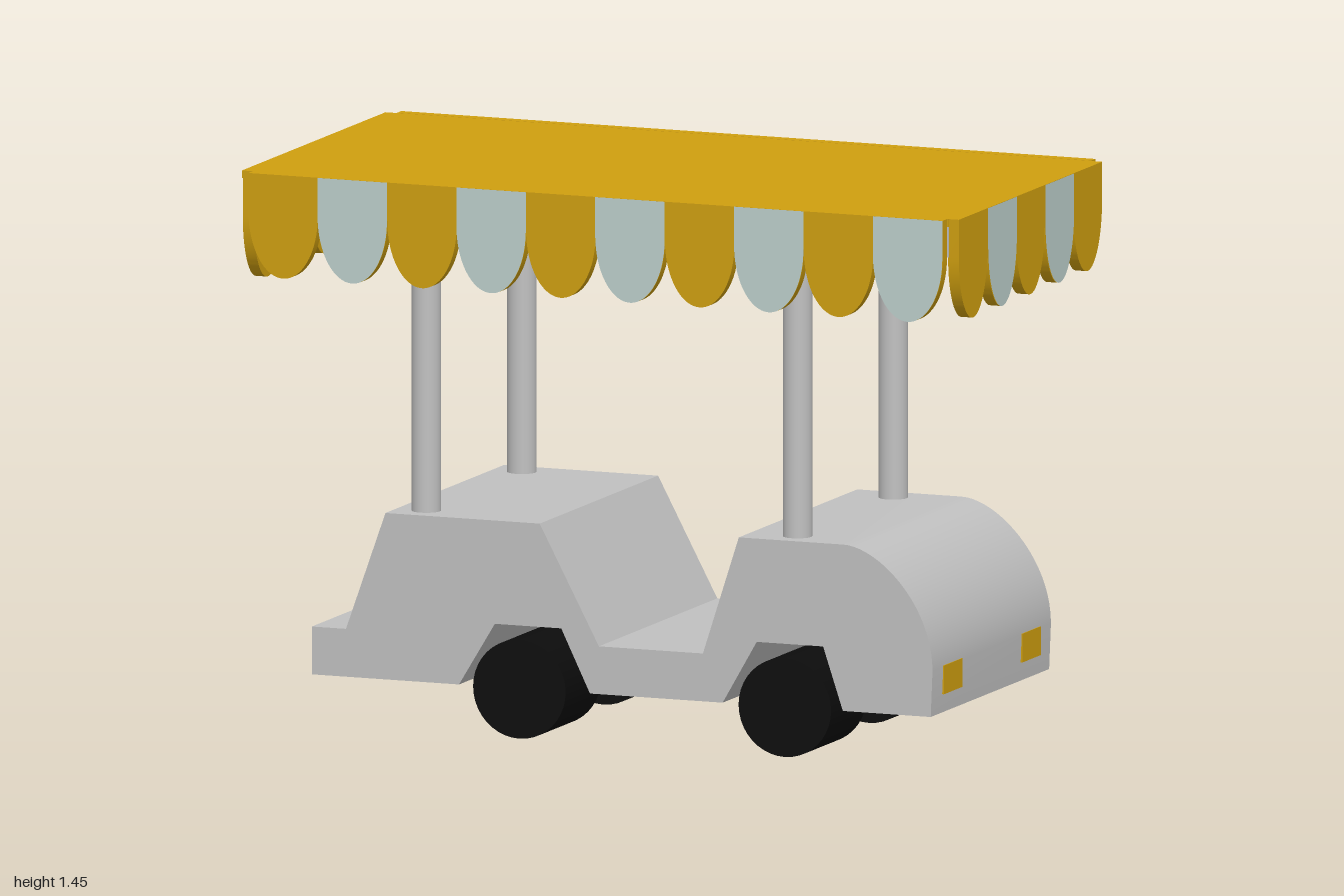
import * as THREE from 'three';
import { toCreasedNormals } from 'three/addons/utils/BufferGeometryUtils.js';

const paint = (name, color) => {
  const m = new THREE.MeshStandardMaterial({ color });
  m.name = name;
  return m;
};

export function createModel() {
  const grey = paint('body grey', 0xc0c0c0);
  const gold = paint('gold', 0xcf9f0f);
  const pale = paint('pale blue', 0xbccfcb);
  const black = paint('tyre black', 0x0c0c0c);
  const model = new THREE.Group();

  const add = (name, geometry, material, x = 0, y = 0, z = 0, parent = model) => {
    const mesh = new THREE.Mesh(geometry, material);
    mesh.name = name;
    mesh.position.set(x, y, z);
    parent.add(mesh);
    return mesh;
  };

  // Body: side profile with wheel arches, extruded across the width
  const profile = new THREE.Shape();
  profile.moveTo(-0.84, 0.13);
  [[-0.43, 0.13], [-0.33, 0.295], [-0.145, 0.295], [-0.065, 0.13], [0.305, 0.13],
    [0.4, 0.295], [0.585, 0.295], [0.64, 0.13], [0.885, 0.13], [0.89, 0.25]]
    .forEach(([x, y]) => profile.lineTo(x, y));
  profile.bezierCurveTo(0.89, 0.42, 0.74, 0.565, 0.64, 0.565);
  [[0.35, 0.565], [0.25, 0.255], [-0.04, 0.255], [-0.205, 0.565], [-0.635, 0.565],
    [-0.745, 0.255], [-0.84, 0.255]].forEach(([x, y]) => profile.lineTo(x, y));
  const body = new THREE.ExtrudeGeometry(profile, { depth: 0.8, bevelEnabled: false, curveSegments: 20 });
  body.translate(0, 0, -0.4);
  add('body', toCreasedNormals(body, 0.4), grey);

  // Wheels, posts and lamps, mirrored left and right
  const wheel = new THREE.CylinderGeometry(0.129, 0.129, 0.24, 40).rotateX(Math.PI / 2);
  const post = new THREE.CylinderGeometry(0.038, 0.038, 0.84, 28);
  for (const s of [1, -1]) {
    for (const x of [-0.26, 0.48]) add('wheel', wheel, black, x, 0.129, s * 0.284);
    for (const x of [-0.553, 0.482]) add('roofPost', post, grey, x, 0.97, s * 0.323);
    add('headlight', new THREE.BoxGeometry(0.008, 0.075, 0.125), gold, 0.888, 0.216, s * 0.265);
    const tail = add('tailLight', new THREE.BoxGeometry(0.008, 0.07, 0.1), gold, -0.725, 0.312, s * 0.32);
    tail.rotation.z = -Math.atan2(0.11, 0.31);
  }

  // Canopy: gold sheet over a grey ceiling
  add('roof', new THREE.BoxGeometry(1.97, 0.02, 0.97), gold, -0.015, 1.44, 0);
  add('ceiling', new THREE.BoxGeometry(1.94, 0.08, 0.97), grey, 0, 1.39, 0);

  // One hanging scallop, centred on x, with its top at y = 0
  const W = 0.1935;
  const flap = new THREE.Shape();
  flap.moveTo(W / 2, 0);
  flap.lineTo(-W / 2, 0);
  flap.lineTo(-W / 2, -0.1);
  flap.absellipse(0, -0.1, W / 2, 0.17, Math.PI, Math.PI * 2, false);
  flap.closePath();
  const flapSolid = toCreasedNormals(
    new THREE.ExtrudeGeometry(flap, { depth: 0.03, bevelEnabled: false, curveSegments: 24 }), 0.5);
  const flapFace = new THREE.ShapeGeometry(flap, 24);

  // A row of scallops facing outward; alternate ones get a pale outer face
  const valance = (name, count, firstPale, angle, x, y, z) => {
    const row = new THREE.Group();
    row.name = name;
    for (let i = 0; i < count; i++) {
      const cx = (i - (count - 1) / 2) * W;
      add('scallop', flapSolid, gold, cx, 0, 0, row);
      if (i % 2 === firstPale) add('scallopFace', flapFace, pale, cx, 0, 0.032, row);
    }
    row.rotation.y = angle;
    row.position.set(x, y, z);
    model.add(row);
  };
  valance('leftSideValance', 10, 1, 0, -0.002, 1.45, 0.485);
  valance('rightSideValance', 10, 0, Math.PI, -0.002, 1.45, -0.488);
  valance('noseValance', 5, 1, Math.PI / 2, 0.968, 1.45, 0);
  valance('tailValance', 5, 1, -Math.PI / 2, -0.968, 1.43, 0);

  return model;
}
